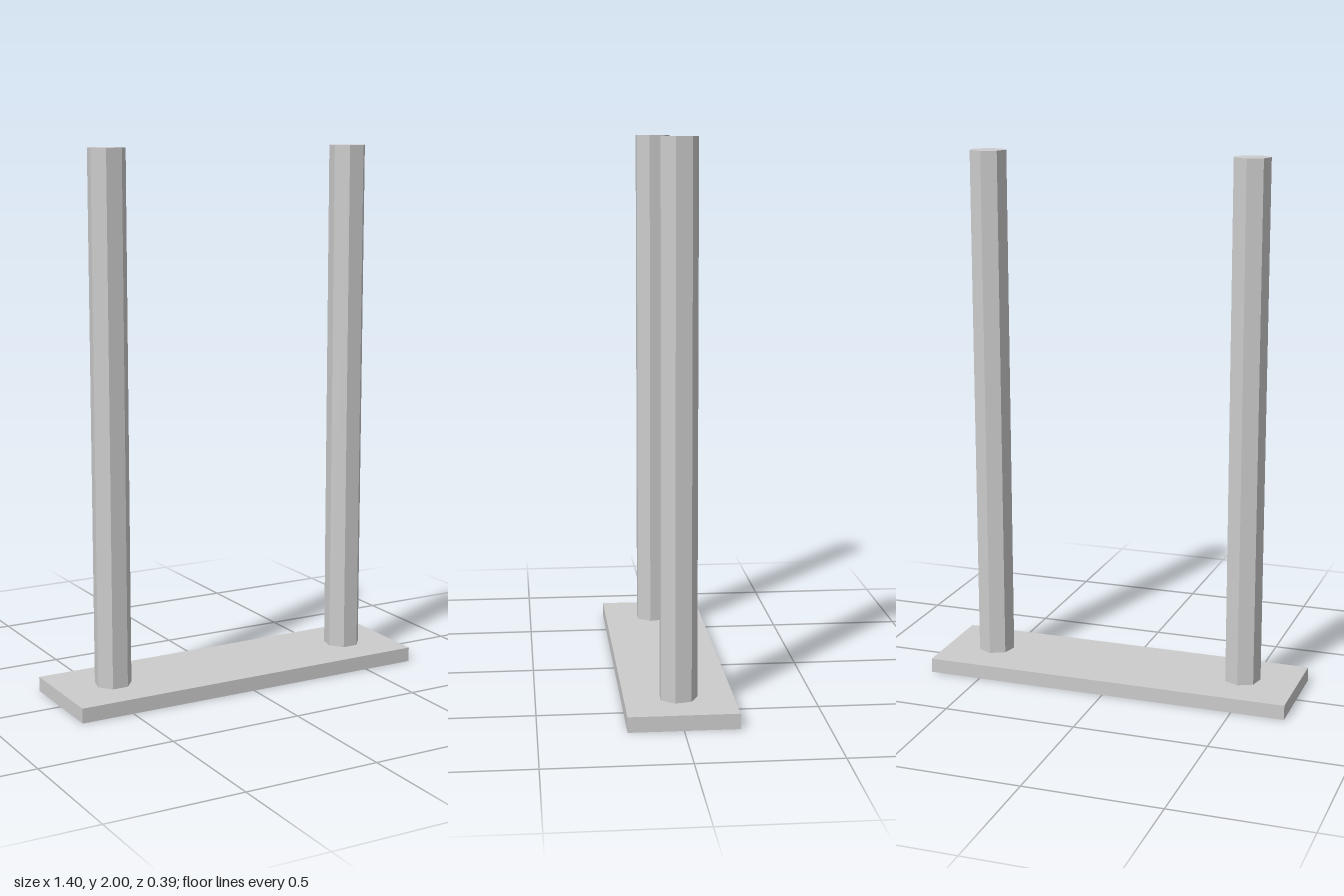
import * as THREE from 'three';

export function createModel() {
  const group = new THREE.Group();
  const material = new THREE.MeshStandardMaterial({ color: 0xcccccc, flatShading: true });
  const height = 2, plateHeight = 0.055;

  // Flat rectangular base
  const base = new THREE.Mesh(new THREE.BoxGeometry(1.4, plateHeight, 0.388), material);
  base.name = 'basePlate';
  base.position.y = plateHeight / 2;
  group.add(base);

  // Two seven-sided posts, each with one corner pointing backwards
  const postHeight = height - plateHeight;
  const postGeometry = new THREE.CylinderGeometry(0.069, 0.069, postHeight, 7, 1, false, Math.PI);
  for (const [name, x] of [['leftPost', 0.51], ['rightPost', -0.49]]) {
    const post = new THREE.Mesh(postGeometry, material);
    post.name = name;
    post.position.set(x, plateHeight + postHeight / 2, 0.003);
    group.add(post);
  }

  return group;
}
